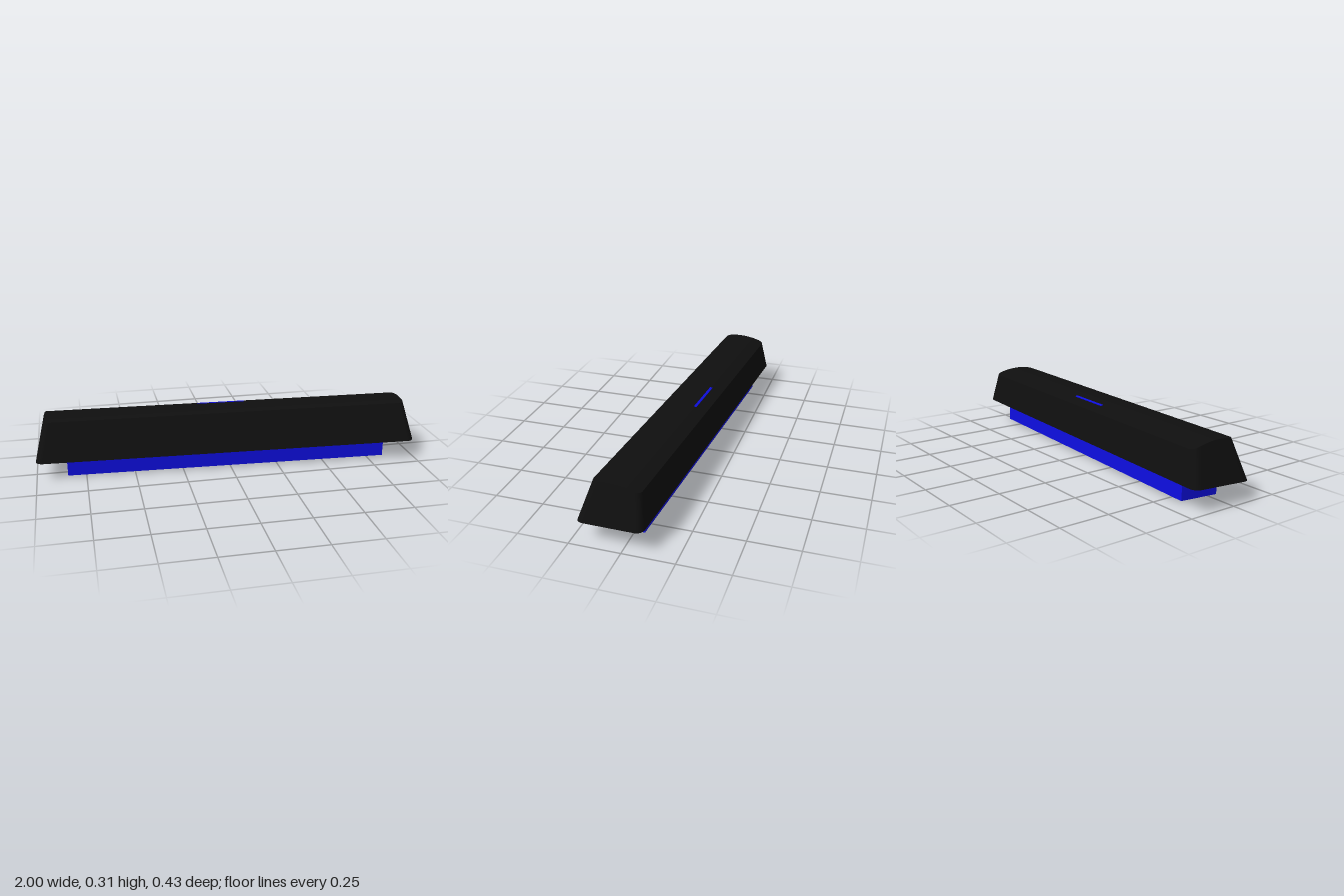
import * as THREE from 'three';
import { mergeGeometries } from 'three/addons/utils/BufferGeometryUtils.js';

const black = new THREE.MeshStandardMaterial({ name: 'black plastic', color: 0x0f0f0f });
const blue = new THREE.MeshStandardMaterial({ name: 'blue plastic', color: 0x0e0ee0 });

// Gently domed top of the cap
const topHeight = (z) => 0.198 - 1.31 * (z - 0.02) ** 2;

// Rounded rectangle loop: +x half from back to front, then its mirror
function loop(halfX, zBack, zFront, r, height) {
  const half = [];
  const steps = 6, rows = 12;
  for (let i = 0; i <= steps; i++) {
    const a = (i / steps) * Math.PI / 2;
    half.push([halfX - r + r * Math.sin(a), zBack + r - r * Math.cos(a)]);
  }
  for (let i = 1; i < rows; i++) {
    half.push([halfX, THREE.MathUtils.lerp(zBack + r, zFront - r, i / rows)]);
  }
  for (let i = 0; i <= steps; i++) {
    const a = (i / steps) * Math.PI / 2;
    half.push([halfX - r + r * Math.cos(a), zFront - r + r * Math.sin(a)]);
  }
  const mirror = half.map(([x, z]) => [-x, z]).reverse();
  return [...half, ...mirror].map(([x, z]) => [x, height(z), z]);
}

function surface(points, index) {
  const g = new THREE.BufferGeometry();
  g.setAttribute('position', new THREE.Float32BufferAttribute(points.flat(), 3));
  g.setIndex(index);
  g.computeVertexNormals();
  return g;
}

// Fill a mirrored loop with strips running across x
function fill(points, up) {
  const index = [], n = points.length;
  for (let i = 0; i < n / 2 - 1; i++) {
    const l = n - 1 - i, l2 = l - 1;
    if (up) index.push(l, l2, i, i, l2, i + 1);
    else index.push(l, i, l2, i, i + 1, l2);
  }
  return surface(points, index);
}

function capGeometry() {
  const bottom = loop(0.992, -0.16, 0.16, 0.035, () => 0);
  const top = loop(0.943, -0.141, 0.087, 0.03, topHeight);
  const n = bottom.length, index = [];
  for (let i = 0; i < n; i++) {
    const j = (i + 1) % n;
    index.push(i, n + i, j, j, n + i, n + j);
  }
  return mergeGeometries([
    surface([...bottom, ...top], index), fill(top, true), fill(bottom, false),
  ]);
}

function rectangle(Target, w, d) {
  const p = new Target();
  p.moveTo(-w / 2, -d / 2);
  p.lineTo(w / 2, -d / 2);
  p.lineTo(w / 2, d / 2);
  p.lineTo(-w / 2, d / 2);
  p.closePath();
  return p;
}

export function createModel() {
  const model = new THREE.Group();
  model.name = 'longKeycap';

  // The key rests slightly turned and tilted
  const key = new THREE.Group();
  key.name = 'key';
  key.rotation.set(0.039, -0.06, 0.005, 'YXZ');
  key.position.y = 0.1085;
  model.add(key);

  const add = (name, geometry, material) => {
    const mesh = new THREE.Mesh(geometry, material);
    mesh.name = name;
    key.add(mesh);
    return mesh;
  };

  // Tapered outer cap
  add('cap', capGeometry(), black);

  // Thin-walled skirt, open below
  const ring = rectangle(THREE.Shape, 1.68, 0.205);
  ring.holes.push(rectangle(THREE.Path, 1.672, 0.197));
  const skirt = new THREE.ExtrudeGeometry(ring, { depth: 0.1015, bevelEnabled: false });
  skirt.rotateX(Math.PI / 2);
  add('skirt', skirt, blue);

  // Slim marking on the back slope of the top
  const z = -0.079;
  const mark = add('topMark', new THREE.BoxGeometry(0.25, 0.006, 0.013), blue);
  mark.position.set(-0.02, topHeight(z), z);
  mark.rotation.x = -Math.atan(2 * 1.31 * (0.02 - z));

  return model;
}
